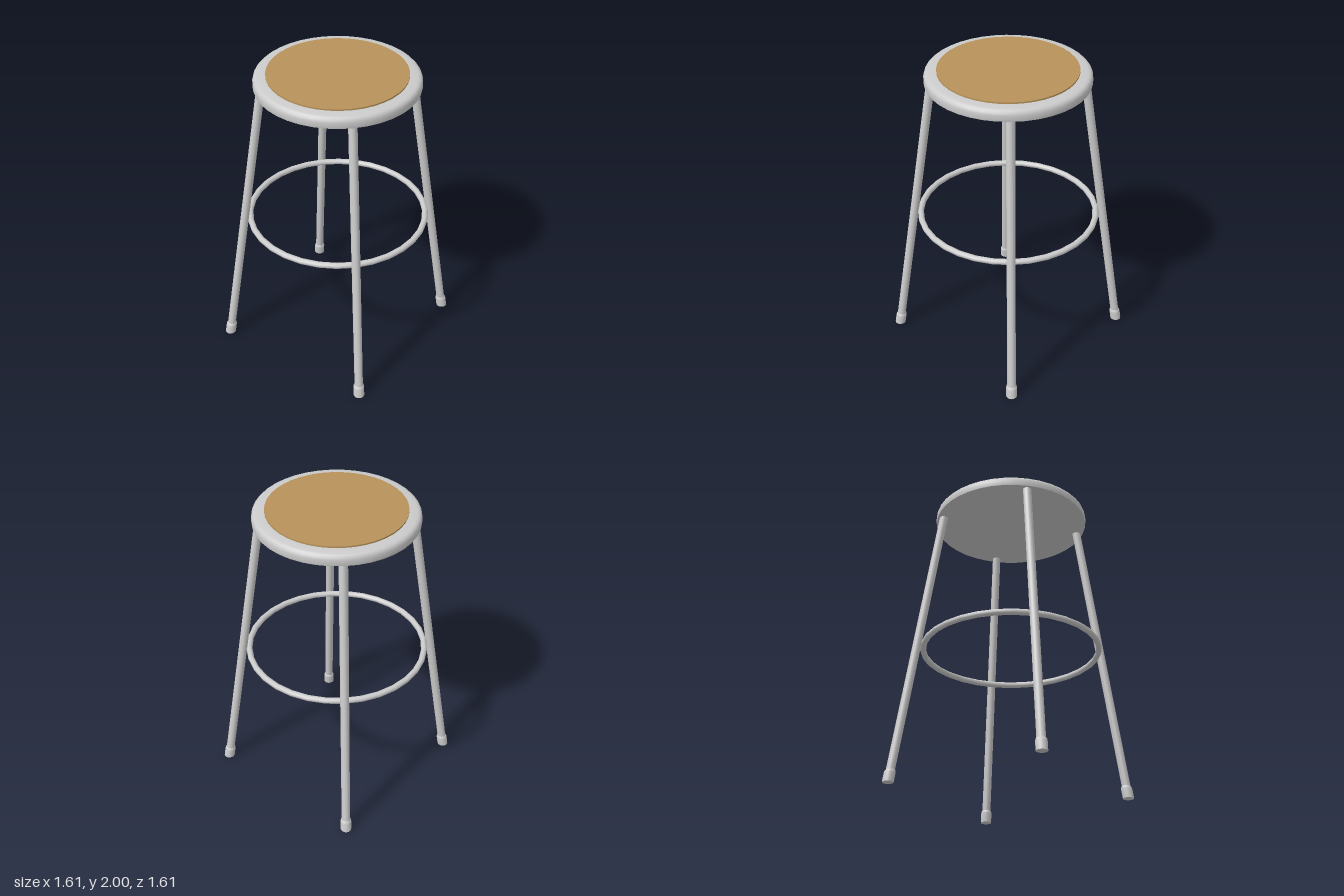
import * as THREE from 'three';
import { toCreasedNormals } from 'three/addons/utils/BufferGeometryUtils.js';

const metal = new THREE.MeshStandardMaterial({ color: 0xcccccc });
const wood = new THREE.MeshStandardMaterial({ color: 0xb8935a });

// Turned part from [radius, height] pairs, listed bottom to top
function turned(points, segments) {
  return new THREE.LatheGeometry(points.map(([r, y]) => new THREE.Vector2(r, y)), segments);
}

function addMesh(parent, name, geometry, material, crease = 0.7) {
  const mesh = new THREE.Mesh(toCreasedNormals(geometry, crease), material);
  mesh.name = name;
  parent.add(mesh);
  return mesh;
}

export function createModel() {
  const stool = new THREE.Group();
  stool.name = 'stool';

  // Round metal seat with a rolled upper edge
  addMesh(stool, 'seatPan', turned([
    [0, 1.917], [0.518, 1.917], [0.52, 1.925], [0.52, 1.955], [0.516, 1.971],
    [0.506, 1.982], [0.49, 1.987], [0.44, 1.99], [0, 1.99],
  ], 40), metal);

  // Wooden disc set into the seat
  addMesh(stool, 'seatInset', turned([[0, 1.985], [0.44, 1.985], [0.44, 2], [0, 2]], 40), wood);

  // Foot ring
  const ring = addMesh(stool, 'footRing', new THREE.TorusGeometry(0.58, 0.02, 10, 32), metal, 1.2);
  ring.rotation.x = Math.PI / 2;
  ring.position.y = 0.955;

  // Four splayed legs, sheared so that the feet rest flat on the floor
  const splay = new THREE.Matrix4().makeShear(0, 0, -0.153, 0, 0, 0);
  splay.set(1, -0.153, 0, 0.769, 0, 1, 0, 0, 0, 0, 1, 0, 0, 0, 0, 1);
  for (let i = 0; i < 4; i++) {
    const leg = new THREE.Group();
    leg.name = `leg${i + 1}`;
    leg.rotation.y = i * Math.PI / 2;
    const tube = turned([[0, 0.02], [0.028, 0.02], [0.028, 1.93], [0, 1.93]], 16);
    addMesh(leg, 'legTube', tube.applyMatrix4(splay), metal);
    const foot = turned([[0, 0], [0.036, 0], [0.036, 0.06], [0.034, 0.073], [0.027, 0.082]], 16);
    addMesh(leg, 'footCap', foot.applyMatrix4(splay), metal);
    stool.add(leg);
  }
  return stool;
}
